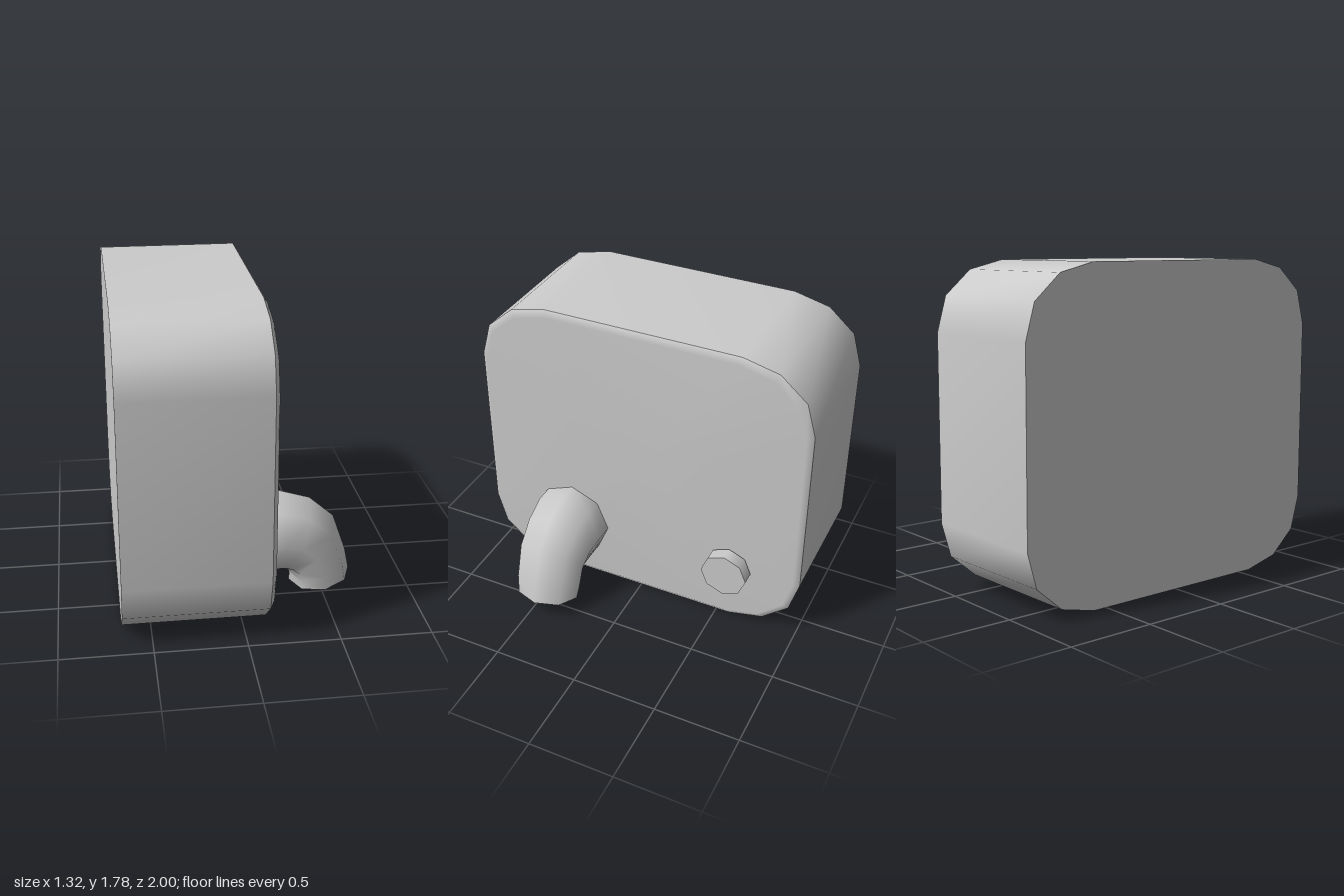
import * as THREE from 'three';

const material = new THREE.MeshStandardMaterial({ color: 0xcccccc });

// Skin a list of closed rings (arrays of Vector3) running toward +x; vertices are shared, so it shades smoothly.
function loft(rings, capEnd = false) {
  const n = rings[0].length, points = rings.flat().map(p => p.clone()), index = [];
  for (let r = 0; r < rings.length - 1; r++) {
    for (let i = 0; i < n; i++) {
      const a = r * n + i, b = r * n + (i + 1) % n;
      index.push(a, b, a + n, b, b + n, a + n);
    }
  }
  if (capEnd) {
    const base = (rings.length - 1) * n;
    const centre = new THREE.Vector3();
    rings.at(-1).forEach(p => centre.addScaledVector(p, 1 / n));
    points.push(centre);
    for (let i = 0; i < n; i++) index.push(points.length - 1, base + i, base + (i + 1) % n);
  }
  const geometry = new THREE.BufferGeometry().setFromPoints(points);
  geometry.setIndex(index);
  geometry.computeVertexNormals();
  return geometry;
}

// Flat cap over one ring, with its own sharp normals.
function cap(ring, flip = false) {
  const points = flip ? [...ring].reverse() : ring;
  const index = [];
  for (let i = 1; i < points.length - 1; i++) index.push(0, i, i + 1);
  const geometry = new THREE.BufferGeometry().setFromPoints(points);
  geometry.setIndex(index);
  geometry.computeVertexNormals();
  return geometry;
}

function part(name, ...geometries) {
  const group = new THREE.Group();
  group.name = name;
  geometries.forEach(g => group.add(new THREE.Mesh(g, material)));
  return group;
}

// Rounded-square outline of the tank, four points per corner, at depth x.
function tankRing(x, scaleY = 1, scaleZ = 1) {
  const corner = [[0.892, 0.58], [0.842, 0.79], [0.708, 0.945], [0.515, 1]];
  const half = [...corner, ...corner.map(([y, z]) => [-y, z]).reverse()];
  const outline = [...half, ...half.map(([y, z]) => [y, -z]).reverse()];
  return outline.map(([y, z]) => new THREE.Vector3(x, 0.892 + y * scaleY, z * scaleZ));
}

// Eight-sided spout ring between an outer and an inner point of the bend.
function spoutRing([ox, oy, ix, iy, rz]) {
  return Array.from({ length: 8 }, (_, i) => {
    const a = i * Math.PI / 4, t = (1 + Math.cos(a)) / 2;
    return new THREE.Vector3(ix + (ox - ix) * t, iy + (oy - iy) * t, 0.445 + rz * Math.sin(a));
  });
}

export function createModel() {
  const model = new THREE.Group();

  // Tank: straight wall, flat back, and a face that shades softly into its bevel
  const back = tankRing(-0.66), rim = tankRing(0.125), face = tankRing(0.15, 0.96, 0.965);
  model.add(part('tank', loft([back, rim]), cap(back, true), loft([rim, face], true)));

  // Curved spout, tapering as it bends down: outer x, y, inner x, y, half width
  const spout = [
    [0.14, 0.627, 0.14, 0.157, 0.235],
    [0.255, 0.627, 0.262, 0.16, 0.235],
    [0.42, 0.577, 0.29, 0.145, 0.22],
    [0.56, 0.455, 0.31, 0.127, 0.21],
    [0.635, 0.24, 0.315, 0.105, 0.205],
    [0.66, 0.118, 0.315, 0.06, 0.19],
  ].map(spoutRing);
  model.add(part('spout', loft(spout), cap(spout.at(-1))));

  // Eight-sided button standing just off the face
  const buttonGeometry = new THREE.CylinderGeometry(0.138, 0.138, 0.08, 8);
  buttonGeometry.rotateZ(-Math.PI / 2);
  const button = part('button', buttonGeometry);
  button.position.set(0.205, 0.39, -0.577);
  model.add(button);

  return model;
}
